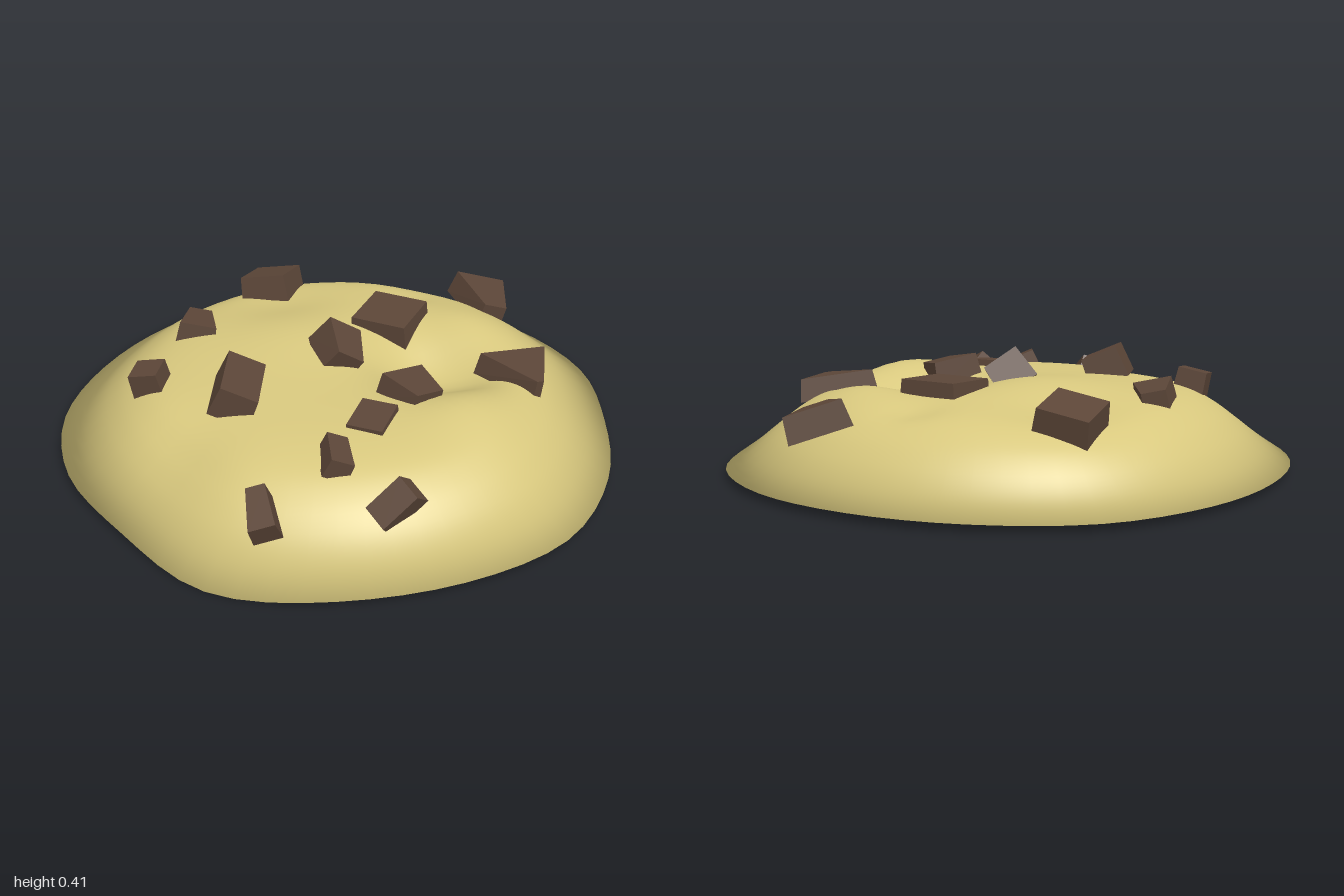
import * as THREE from 'three';

const dough = new THREE.MeshStandardMaterial({ color: 0xd8c87e, side: THREE.DoubleSide });
dough.name = 'golden dough';
const chocolate = new THREE.MeshStandardMaterial({ color: 0x5c4638 });
chocolate.name = 'dark chocolate';

// Uneven outline: radius every 22.5 degrees, from +x towards +z
const radii = [0.96, 0.925, 0.955, 1.0, 0.995, 1.0, 1.02, 0.955, 0.965, 0.97, 0.96, 0.975, 1.0, 0.975, 0.96, 0.965];
const outline = new THREE.CatmullRomCurve3(radii.map((r, i) => {
  const a = (i / radii.length) * Math.PI * 2;
  return new THREE.Vector3(r * Math.cos(a), 0, r * Math.sin(a));
}), true);

// Profile from the middle to the rim: share of the radius, height above the rim
const profile = new THREE.SplineCurve([
  [0, 0.258], [0.2, 0.258], [0.4, 0.256], [0.55, 0.246], [0.66, 0.222],
  [0.75, 0.175], [0.83, 0.118], [0.91, 0.058], [1, 0],
].map(([t, y]) => new THREE.Vector2(t, y))).getPoints(40);

// Soft hollows and raised folds: x, z, radius, height
const folds = [
  [0.27, 0.13, 0.19, -0.11], [0.42, 0.22, 0.12, -0.03], [-0.05, -0.52, 0.2, -0.035],
  [0.42, -0.38, 0.09, -0.025], [-0.68, 0.27, 0.16, -0.035], [0.25, 0.46, 0.15, 0.03],
  [0.5, -0.06, 0.15, 0.03], [-0.08, -0.2, 0.24, 0.03],
];

const bump = (x, z, cx, cz, r) => Math.exp(-((x - cx) ** 2 + (z - cz) ** 2) / (r * r));

// The rim sags a little at the front
const rimHeight = (x, z) => 0.025 - 0.025 * bump(x, z, -0.68, 0.76, 0.4);

const relief = (x, z, t) =>
  (1 - t ** 4) * folds.reduce((sum, [cx, cz, r, h]) => sum + h * bump(x, z, cx, cz, r), 0);

// Rings of points from the middle to the outline; normals roll over the rounded rim
function makeSheet(rings, facingUp, rimShare) {
  const segments = 64, positions = [], index = [];
  for (const { x: t, y } of rings) {
    for (let j = 0; j < segments; j++) {
      const p = outline.getPoint(j / segments).multiplyScalar(t);
      const h = rimHeight(p.x, p.z) + y + (facingUp ? relief(p.x, p.z, t) : 0);
      positions.push(p.x, h, p.z);
    }
  }
  for (let i = 0; i < rings.length - 1; i++) {
    for (let j = 0; j < segments; j++) {
      const k = (j + 1) % segments;
      const a = i * segments + j, b = i * segments + k;
      const c = a + segments, d = b + segments;
      const faces = i === 0 ? [[a, d, c]] : [[a, b, d], [a, d, c]];
      for (const [p, q, r] of faces) index.push(...(facingUp ? [p, q, r] : [p, r, q]));
    }
  }
  const g = new THREE.BufferGeometry();
  g.setAttribute('position', new THREE.Float32BufferAttribute(positions, 3));
  g.setIndex(index);
  g.computeVertexNormals();
  const pos = g.attributes.position, normal = g.attributes.normal;
  const n = new THREE.Vector3(), rim = new THREE.Vector3();
  for (let v = 0; v < pos.count; v++) {
    const t = rings[Math.floor(v / segments)].x;
    if (t === 0) n.set(0, facingUp ? 1 : -1, 0);
    else n.fromBufferAttribute(normal, v);
    rim.set(pos.getX(v), -0.2, pos.getZ(v)).normalize();
    n.lerp(rim, rimShare(t)).normalize();
    normal.setXYZ(v, n.x, n.y, n.z);
  }
  return g;
}

// Chunk: a box whose +z end is scaled by taper
function makeChunk({ at, size, turn, taper = 1 }) {
  const g = new THREE.BoxGeometry(...size).toNonIndexed();
  const p = g.attributes.position;
  for (let i = 0; i < p.count; i++) {
    if (p.getZ(i) > 0) p.setX(i, p.getX(i) * taper);
    if (p.getY(i) < 0) p.setX(i, p.getX(i) * 1.1);
  }
  g.computeVertexNormals();
  const m = new THREE.Mesh(g, chocolate);
  m.position.set(...at);
  m.rotation.set(...turn, 'YXZ');
  return m;
}

const chunks = [
  { at: [-0.02, 0.25, -0.65], size: [0.17, 0.12, 0.18], turn: [-0.2, -0.7, 0.2] },
  { at: [-0.39, 0.265, -0.4], size: [0.08, 0.09, 0.16], turn: [-0.1, -0.35, -0.2], taper: 1.6 },
  { at: [-0.64, 0.25, -0.11], size: [0.1, 0.12, 0.1], turn: [0.1, -0.6, 0.2] },
  { at: [-0.41, 0.3, 0.12], size: [0.13, 0.11, 0.23], turn: [0.05, -0.44, -0.4] },
  { at: [-0.01, 0.3, 0], size: [0.13, 0.12, 0.16], turn: [0.3, -0.25, -0.6], taper: 0.8 },
  { at: [0.26, 0.265, -0.18], size: [0.2, 0.12, 0.21], turn: [0.05, -0.82, 0] },
  { at: [0.69, 0.23, -0.28], size: [0.19, 0.09, 0.22], turn: [0.1, -0.2, -0.3], taper: 0.45 },
  { at: [0.13, 0.27, 0.31], size: [0.17, 0.1, 0.15], turn: [0.15, 0.25, -0.15], taper: 0.65 },
  { at: [0.55, 0.245, 0.3], size: [0.25, 0.08, 0.2], turn: [0.1, 0, -0.1], taper: 0.1 },
  { at: [-0.06, 0.265, 0.42], size: [0.12, 0.06, 0.15], turn: [0.1, -0.75, 0] },
  { at: [-0.24, 0.26, 0.56], size: [0.07, 0.07, 0.14], turn: [0.1, -0.25, -0.4], taper: 1.1 },
  { at: [-0.52, 0.195, 0.67], size: [0.06, 0.08, 0.15], turn: [0.4, -0.2, 0.3], taper: 1.4 },
  { at: [-0.13, 0.19, 0.77], size: [0.14, 0.08, 0.09], turn: [0.4, 0.3, 0.8] },
];

export function createModel() {
  const model = new THREE.Group();
  model.name = 'cookie';

  // Domed top
  const top = new THREE.Mesh(makeSheet(profile, true, (t) => Math.max(0, (t - 0.65) / 0.35) ** 2), dough);
  top.name = 'cookieTop';

  // Flat underside, softly shaded all the way in from the rim
  const baseRings = Array.from({ length: 9 }, (_, i) => new THREE.Vector2(i / 8, 0));
  const base = new THREE.Mesh(makeSheet(baseRings, false, () => 1), dough);
  base.name = 'cookieBase';
  model.add(top, base);

  const chips = new THREE.Group();
  chips.name = 'chocolateChunks';
  chunks.forEach((c, i) => {
    const chunk = makeChunk(c);
    chunk.name = `chocolateChunk${i + 1}`;
    chips.add(chunk);
  });
  model.add(chips);
  return model;
}
